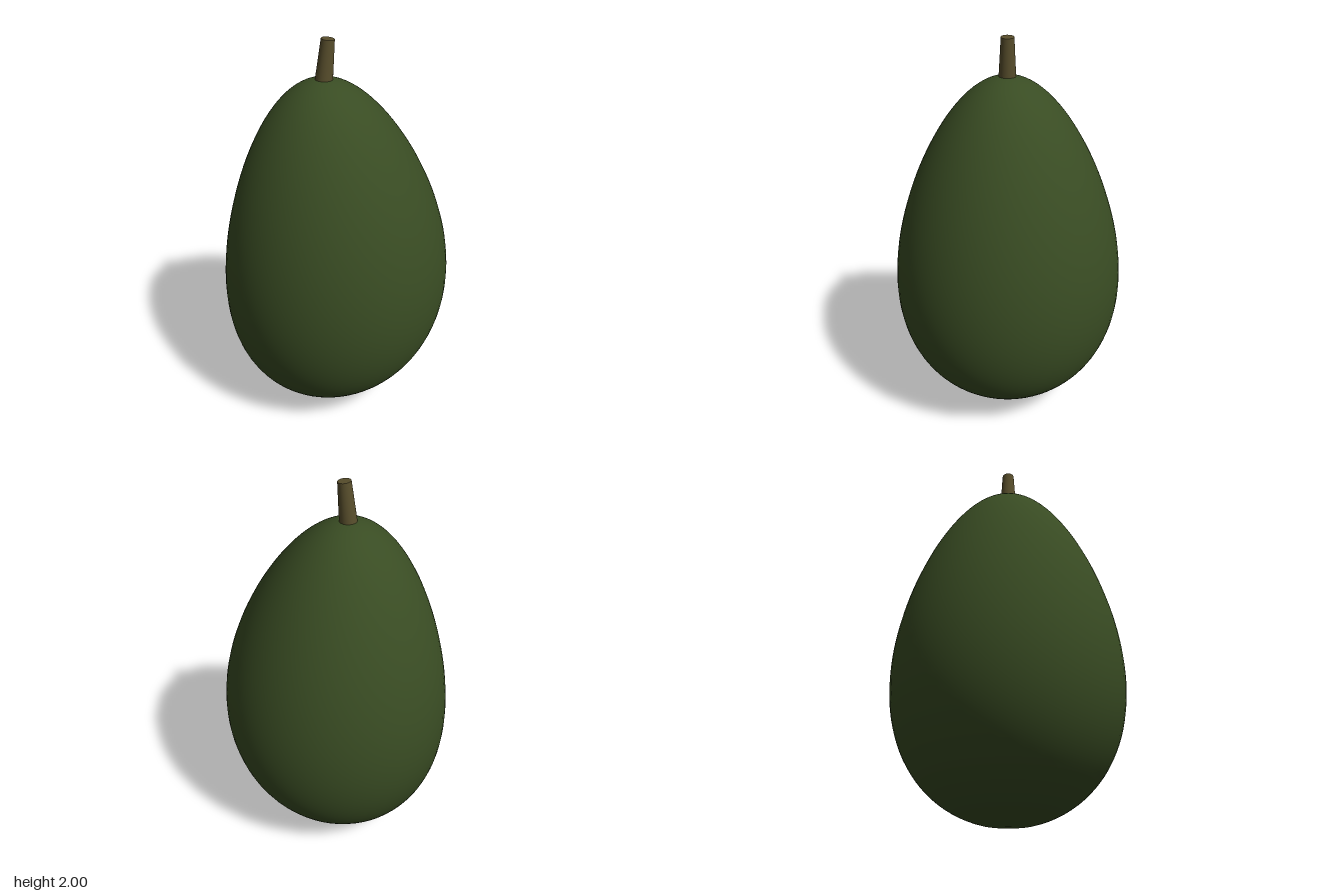
import * as THREE from 'three';

const HEIGHT = 1.812;

// The fruit leans: both ends sit left of the middle
const axisX = (y) => -0.06 + 0.06 * Math.sin((Math.PI * y) / HEIGHT);

// Egg outline: t runs from the broad bottom (0) to the narrow top (PI)
function eggPoint(t) {
  const c = Math.cos(t);
  return new THREE.Vector2(0.581 * Math.sin(t) * (1 + 0.224 * c), (HEIGHT / 2) * (1 - c));
}

export function createModel() {
  const group = new THREE.Group();
  const skin = new THREE.MeshStandardMaterial({ color: 0x394c23 });
  skin.name = 'darkGreenSkin';
  const wood = new THREE.MeshStandardMaterial({ color: 0x584e2c });
  wood.name = 'brownStem';

  // Fruit: egg-shaped lathe with a shallow cone tip, bent along its axis
  const points = [new THREE.Vector2(0, 0.004)];
  const rings = 56;
  for (let i = 0; i <= rings; i++) {
    points.push(eggPoint(THREE.MathUtils.lerp(0.2, Math.PI - 0.08, i / rings)));
  }
  points.push(new THREE.Vector2(0, HEIGHT));
  const body = new THREE.LatheGeometry(points, 64);
  const pos = body.attributes.position;
  for (let i = 0; i < pos.count; i++) pos.setX(i, pos.getX(i) + axisX(pos.getY(i)));
  const fruit = new THREE.Mesh(body, skin);
  fruit.name = 'fruit';
  group.add(fruit);

  // Stem: tapered, tilted cylinder sunk a little into the crown
  const stem = new THREE.Mesh(new THREE.CylinderGeometry(0.032, 0.044, 0.22, 24), wood);
  stem.name = 'stem';
  stem.position.set(-0.049, 1.888, 0);
  stem.rotation.z = -0.1;
  group.add(stem);

  return group;
}
